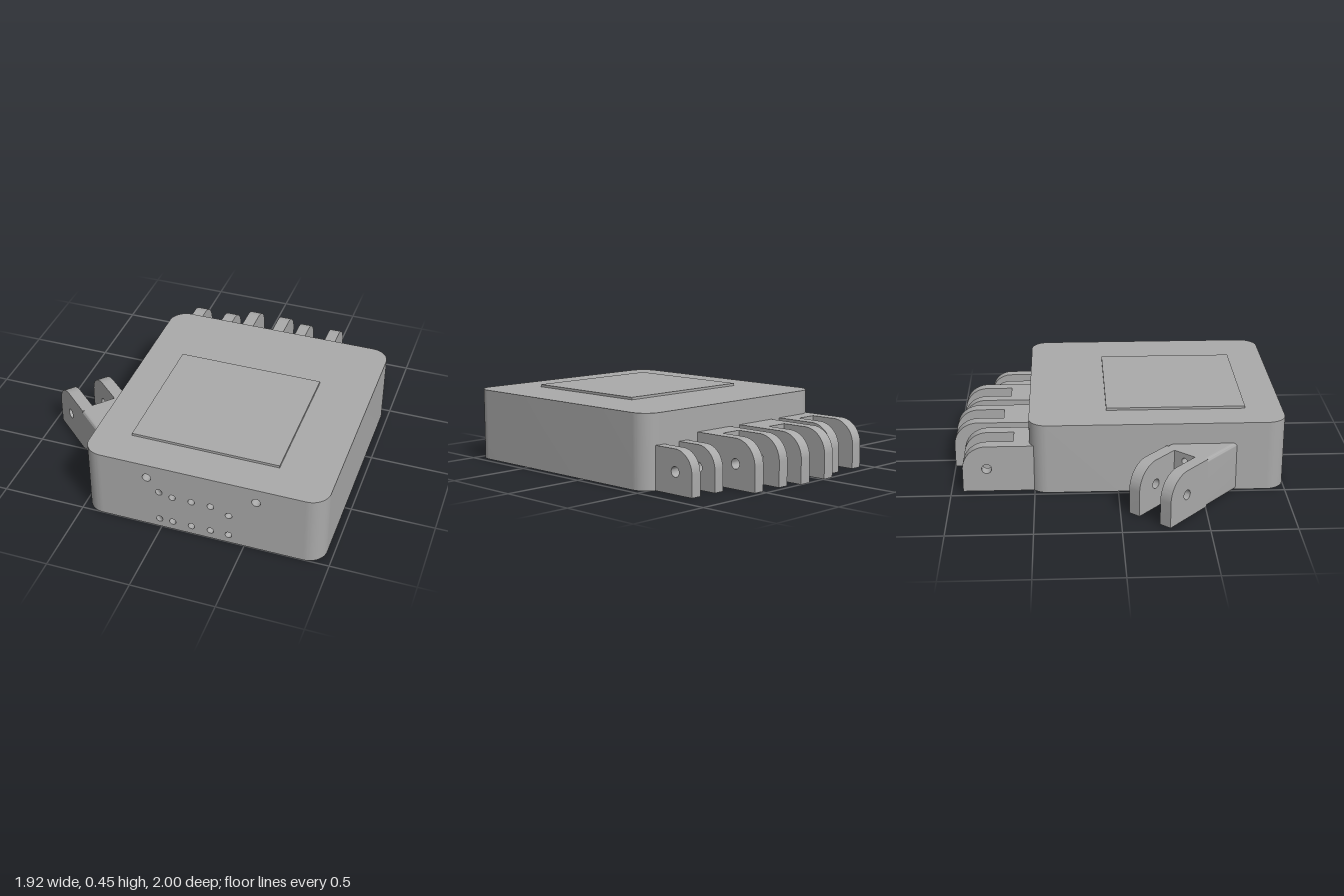
import * as THREE from 'three';
import { toCreasedNormals } from 'three/addons/utils/BufferGeometryUtils.js';

const grey = new THREE.MeshStandardMaterial({ color: 0xaaaaaa });
grey.name = 'grey';

function mesh(name, geometry, parent) {
  const m = new THREE.Mesh(geometry, grey);
  m.name = name;
  parent.add(m);
  return m;
}

// Extrude along +z, smooth on curves and sharp on edges
function extrude(shape, depth) {
  return new THREE.ExtrudeGeometry(shape, { depth, bevelEnabled: false, curveSegments: 12 });
}
const crease = (g) => toCreasedNormals(g, 0.6);

function addHole(shape, x, y, r) {
  shape.holes.push(new THREE.Path().absarc(x, y, r, 0, Math.PI * 2, true));
}

function rectShape(x0, x1, y0, y1, r = 0) {
  const s = new THREE.Shape();
  if (!r) return s.moveTo(x0, y0).lineTo(x1, y0).lineTo(x1, y1).lineTo(x0, y1).closePath();
  s.absarc(x1 - r, y0 + r, r, -Math.PI / 2, 0);
  s.absarc(x1 - r, y1 - r, r, 0, Math.PI / 2);
  s.absarc(x0 + r, y1 - r, r, Math.PI / 2, Math.PI);
  s.absarc(x0 + r, y0 + r, r, Math.PI, Math.PI * 1.5);
  return s.closePath();
}

// Palm extents
const X0 = -0.48, X1 = 0.96, BACK = -0.53, FRONT = 1, R = 0.11, H = 0.435;
const FRONT_DEPTH = 0.3, BACK_DEPTH = 0.2;

// Rounded slab with slots at front and back that take the drilled blocks
function palmBody() {
  const a = X0 + R, b = X1 - R, f = -FRONT, k = -BACK;
  const s = new THREE.Shape();
  s.moveTo(a, f + FRONT_DEPTH).lineTo(b, f + FRONT_DEPTH).lineTo(b, f);
  s.absarc(b, f + R, R, -Math.PI / 2, 0);
  s.absarc(b, k - R, R, 0, Math.PI / 2);
  s.lineTo(b, k - BACK_DEPTH).lineTo(a, k - BACK_DEPTH).lineTo(a, k);
  s.absarc(a, k - R, R, Math.PI / 2, Math.PI);
  s.absarc(a, f + R, R, Math.PI, Math.PI * 1.5);
  s.closePath();
  return crease(extrude(s, H).rotateX(-Math.PI / 2));
}

// Block with bores [x, y, radius, sideways drift at the far end]
function drilledBlock(depth, bores) {
  const s = rectShape(X0 + R, X1 - R, 0, H);
  for (const [x, y, r] of bores) addHole(s, x, y, r);
  const g = extrude(s, depth);
  const p = g.attributes.position;
  for (let i = 0; i < p.count; i++) {
    if (p.getZ(i) > 0.001) continue;
    const bore = bores.find(([x, y, r]) => Math.hypot(p.getX(i) - x, p.getY(i) - y) < r + 0.002);
    if (bore) p.setX(i, p.getX(i) + bore[3]);
  }
  return crease(g);
}

// Clevis: local +x points outward, local z is its width
function clevis(name, { width, prong, height, length, prongStart, baseEnd, baseWidth, round, bores }) {
  const g = new THREE.Group();
  g.name = name;
  const r = height / 2;
  const s = new THREE.Shape();
  s.moveTo(prongStart, 0).lineTo(length, 0).lineTo(length, r);
  s.absarc(length - r, r, r, 0, Math.PI / 2);
  s.lineTo(prongStart, height).closePath();
  addHole(s, length - r, r, 0.03);
  const prongGeometry = crease(extrude(s, prong));
  for (const z of [-width / 2, width / 2 - prong]) mesh('prong', prongGeometry, g).position.z = z;
  if (baseEnd) {
    const b = rectShape(-baseWidth / 2, baseWidth / 2, 0, height, round);
    for (const y of bores) addHole(b, 0, y, 0.02);
    mesh('clevisBase', crease(extrude(b, baseEnd).rotateY(Math.PI / 2)), g);
  }
  return g;
}

export function createModel() {
  const model = new THREE.Group();
  model.name = 'palm';

  mesh('palmBody', palmBody(), model);

  // Front face: two screw holes and two rows of cable bores
  const drift = [-0.28, -0.07, -0.025, 0.025, 0.07];
  const cols = [-0.013, 0.067, 0.182, 0.297, 0.405];
  const upper = [0.255, 0.237, 0.237, 0.237, 0.2];
  const bores = [[-0.085, 0.345, 0.026, 0], [0.565, 0.345, 0.026, 0]];
  cols.forEach((x, i) => bores.push([x, 0.055, 0.02, drift[i]], [x, upper[i], 0.02, drift[i]]));
  mesh('frontBlock', drilledBlock(FRONT_DEPTH, bores), model).position.z = FRONT - FRONT_DEPTH;

  // Raised plate on top
  const plate = mesh('topPlate', new THREE.BoxGeometry(0.89, 0.03, 0.84), model);
  plate.position.set(0.185, H, 0.355);

  // Finger clevises: centre x, width, prong, height, tip z, base z, upper bore y
  const fingers = [
    [-0.3, 0.285, 0.075, 0.29, -0.93, -0.625, 0.237],
    [0.058, 0.285, 0.075, 0.29, -1.0, -0.695, 0.237],
    [0.418, 0.275, 0.07, 0.29, -0.965, -0.66, 0.237],
    [0.762, 0.245, 0.065, 0.255, -0.805, null, 0.2],
  ];
  const root = BACK + 0.05;
  fingers.forEach(([x, width, prong, height, tip, base, y], i) => {
    const f = clevis('fingerClevis' + (i + 1), {
      width, prong, height, length: root - tip, prongStart: 0,
      baseEnd: base === null ? 0 : root - base,
      baseWidth: width - 2 * prong, round: 0, bores: [0.055, y],
    });
    f.position.set(x, 0, root);
    f.rotation.y = Math.PI / 2;
    model.add(f);
  });

  // Back face bores line up with the fingers
  const backBores = fingers.flatMap((f) => [[f[0], 0.055, 0.02, 0], [f[0], f[6], 0.02, 0]]);
  mesh('backBlock', drilledBlock(BACK_DEPTH, backBores), model).position.z = BACK;

  // Thumb clevis, angled out of the right side
  const thumb = clevis('thumbClevis', {
    width: 0.3, prong: 0.075, height: 0.305, length: 0.75, prongStart: 0.4,
    baseEnd: 0.424, baseWidth: 0.3, round: 0.02, bores: [0.055, 0.255],
  });
  thumb.position.set(-0.301, 0, 0.663);
  thumb.rotation.y = Math.PI - 0.73;
  model.add(thumb);

  return model;
}
